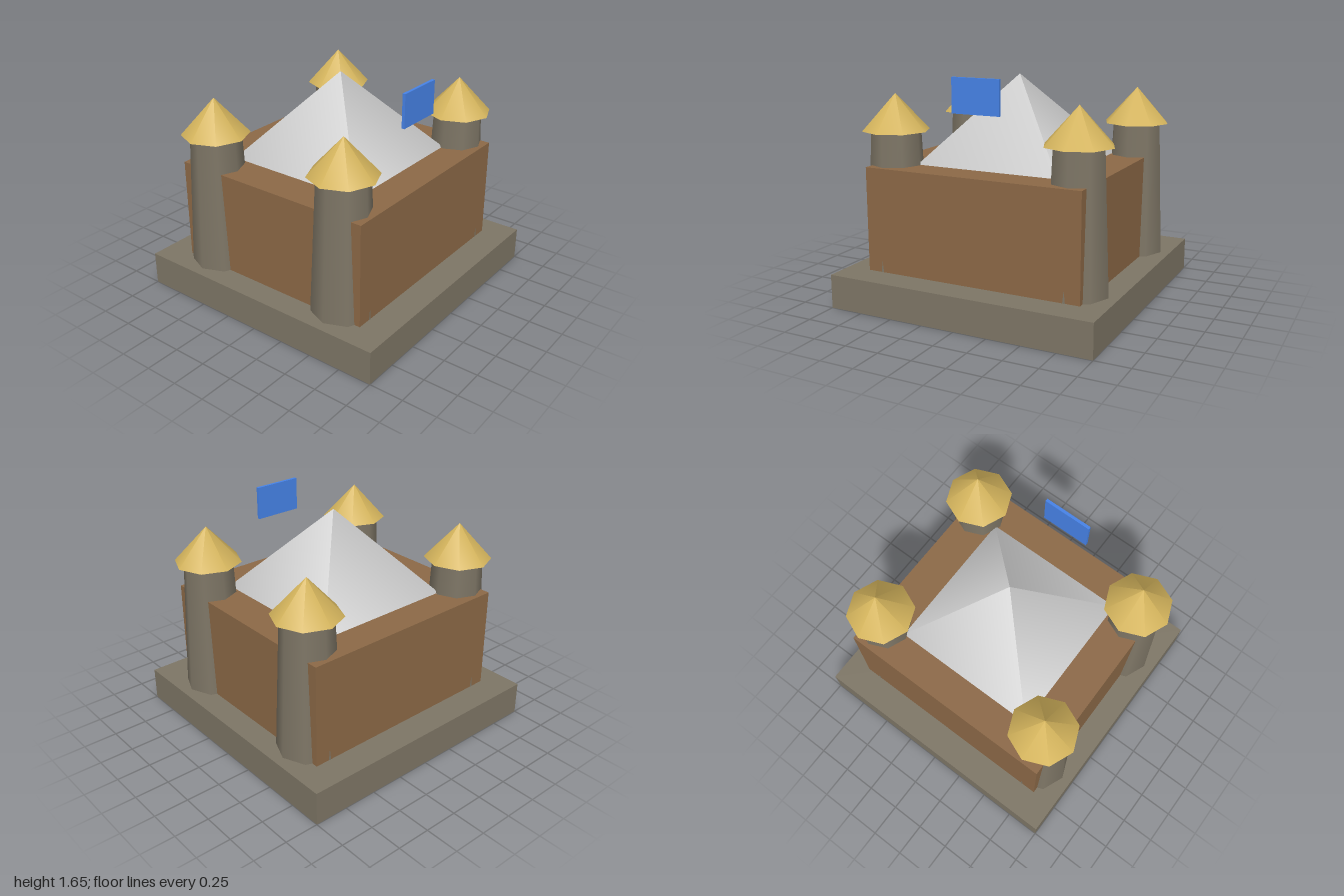
import * as THREE from 'three';

const paint = (color) => new THREE.MeshStandardMaterial({ color });

export function createModel() {
  const castle = new THREE.Group();
  castle.name = 'castle';
  const stone = paint(0x7d7565);
  const timber = paint(0x8b6846);
  const gold = paint(0xd4b45c);
  const blue = paint(0x4682e6);
  const grey = paint(0xcccccc);

  // Adds a mesh whose underside rests at height y
  const add = (name, geometry, height, material, x, y, z, parent = castle) => {
    const mesh = new THREE.Mesh(geometry, material);
    mesh.name = name;
    mesh.position.set(x, y + height / 2, z);
    parent.add(mesh);
    return mesh;
  };

  // Plinth and main block
  add('plinth', new THREE.BoxGeometry(2, 0.247, 2), 0.247, stone, 0, 0, 0);
  add('keep', new THREE.BoxGeometry(1.64, 0.757, 1.57), 0.757, timber, 0, 0.247, 0);

  // Four-sided pyramid roof
  const roof = add('roof', new THREE.ConeGeometry(0.77, 0.625, 4), 0.625, grey, 0, 1.004, 0);
  roof.rotation.y = Math.PI / 4;

  // Tapered eight-sided corner towers with pointed caps
  const shaft = new THREE.CylinderGeometry(0.181, 0.226, 0.998, 8);
  const cap = new THREE.ConeGeometry(0.244, 0.265, 8);
  for (const x of [-0.705, 0.705]) {
    for (const z of [-0.563, 0.563]) {
      const tower = new THREE.Group();
      tower.name = 'cornerTower';
      add('towerShaft', shaft, 0.998, stone, x, 0.247, z, tower);
      add('towerCap', cap, 0.265, gold, x, 1.245, z, tower);
      castle.add(tower);
    }
  }

  // Banner floating above the front wall
  add('banner', new THREE.BoxGeometry(0.36, 0.245, 0.022), 0.245, blue, 0, 1.41, 0.655);

  return castle;
}
